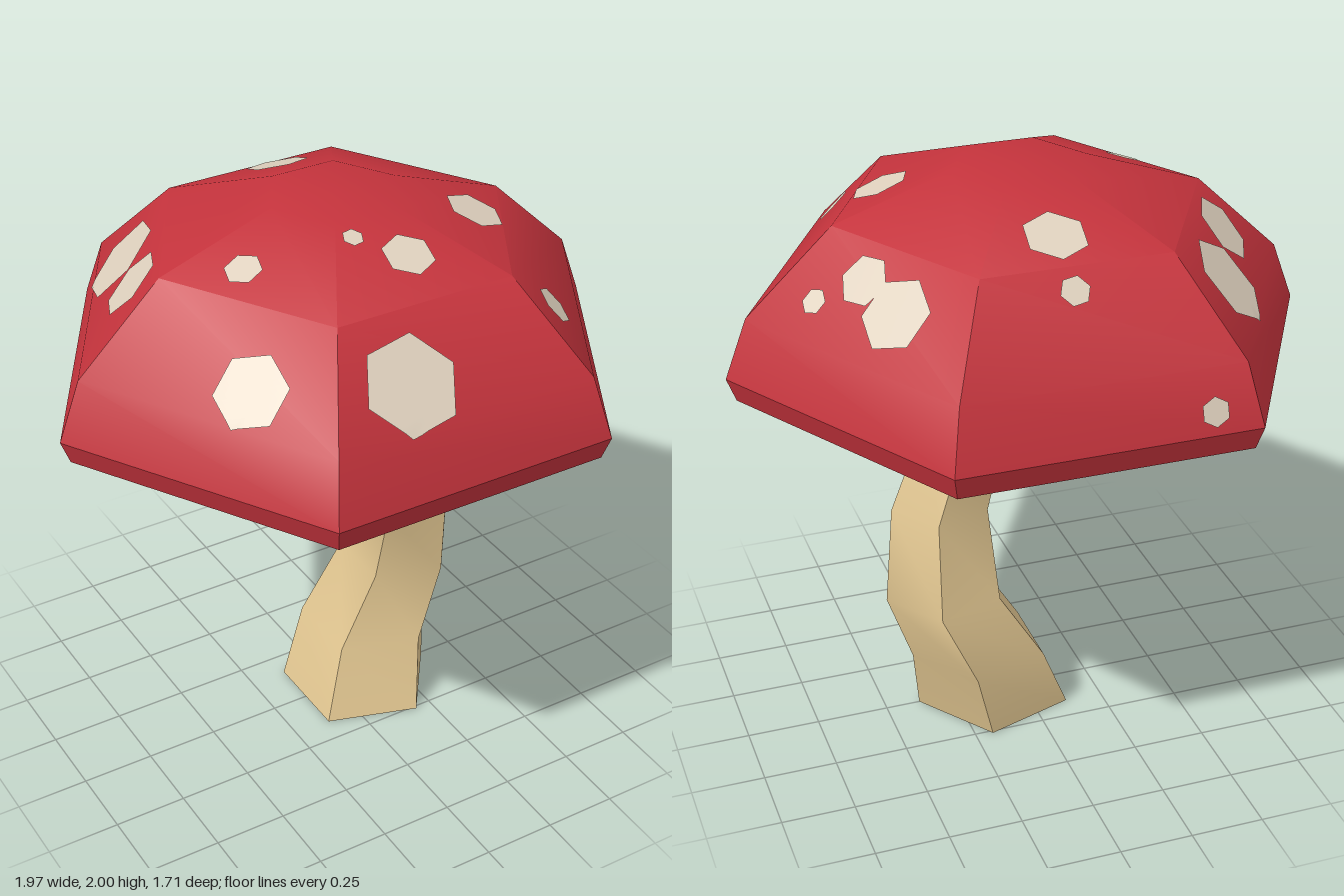
import * as THREE from 'three';
import { toCreasedNormals } from 'three/addons/utils/BufferGeometryUtils.js';

const CREASE = 0.58;

// Closed loft through regular polygon rings [y, radius, centreX, centreZ], bottom to top
function loft(rings, sides) {
  const pos = [], index = [];
  rings.forEach(([y, r, cx = 0, cz = 0]) => {
    for (let i = 0; i < sides; i++) {
      const a = (i / sides) * Math.PI * 2;
      pos.push(cx + r * Math.cos(a), y, cz + r * Math.sin(a));
    }
  });
  const last = rings.length - 1;
  const bottom = rings.length * sides, top = bottom + 1;
  for (const [y, , cx = 0, cz = 0] of [rings[0], rings[last]]) pos.push(cx, y, cz);
  for (let i = 0; i < sides; i++) {
    const j = (i + 1) % sides;
    for (let k = 0; k < last; k++) {
      const a = k * sides, b = a + sides;
      index.push(a + i, b + i, b + j, a + i, b + j, a + j);
    }
    index.push(bottom, i, j, top, last * sides + j, last * sides + i);
  }
  const geo = new THREE.BufferGeometry();
  geo.setAttribute('position', new THREE.Float32BufferAttribute(pos, 3));
  geo.setIndex(index);
  return toCreasedNormals(geo, CREASE);
}

// Cap rings: rim, then dome
const capRings = [[1.31, 0.955], [1.39, 0.985], [1.59, 0.91], [1.865, 0.62], [2.0, 0.225]];

// Dome profile through the middle of a side: [distance from axis, height]
const profile = capRings.slice(1).map(([y, r]) => new THREE.Vector2(r * Math.cos(Math.PI / 6), y));

// Point on the dome profile at a slope distance from the rim, lifted off the surface
function profileAt(s, lift) {
  for (let i = 0; i < profile.length - 1; i++) {
    const p = profile[i], q = profile[i + 1], len = p.distanceTo(q);
    if (s <= len || i === profile.length - 2) {
      const d = q.clone().sub(p).divideScalar(len);
      return new THREE.Vector2(p.x + d.x * s + d.y * lift, p.y + d.y * s - d.x * lift);
    }
    s -= len;
  }
}

// Slope distance from the rim at a given distance from the axis
function slopeAt(dist) {
  let s = 0;
  for (let i = 0; i < profile.length - 1; i++) {
    const p = profile[i], q = profile[i + 1], len = p.distanceTo(q);
    if (dist >= q.x) return s + (len * (p.x - dist)) / (p.x - q.x);
    s += len;
  }
  return s;
}

// Six-sided patch wrapped over one side of the dome
function spotGeometry(sideDeg, side, dist, radius, turnDeg) {
  const geo = new THREE.RingGeometry(0, 1, 36, 6);
  const pos = geo.attributes.position;
  const a = THREE.MathUtils.degToRad(sideDeg), turn = THREE.MathUtils.degToRad(turnDeg);
  const s0 = slopeAt(dist), sector = Math.PI / 3;
  for (let i = 0; i < pos.count; i++) {
    const x = pos.getX(i), y = pos.getY(i);
    const th = Math.atan2(y, x) + Math.PI * 2 + 1e-6;
    const hex = Math.cos(sector / 2) / Math.cos((th % sector) - sector / 2);
    const r = radius * Math.hypot(x, y) * hex;
    const t = side - r * Math.cos(th + turn);
    const p = profileAt(s0 + r * Math.sin(th + turn), 0.006);
    pos.setXYZ(i, p.x * Math.cos(a) - t * Math.sin(a), p.y, p.x * Math.sin(a) + t * Math.cos(a));
  }
  geo.computeVertexNormals();
  return geo;
}

export function createModel() {
  const red = new THREE.MeshStandardMaterial({ color: 0xc4333c });
  red.name = 'capRed';
  const tan = new THREE.MeshStandardMaterial({ color: 0xdfc48f });
  tan.name = 'stemTan';
  const cream = new THREE.MeshStandardMaterial({ color: 0xdfd1be });
  cream.name = 'spotCream';

  const model = new THREE.Group();
  model.name = 'mushroom';
  const add = (name, geo, mat, parent = model) => {
    const mesh = new THREE.Mesh(geo, mat);
    mesh.name = name;
    parent.add(mesh);
  };

  // Hexagonal cap
  add('cap', loft(capRings, 6), red);

  // Crooked five-sided stem, ending just inside the cap
  add('stem', loft([
    [0, 0.276, 0.104, 0],
    [0.24, 0.24, 0.172, -0.05],
    [0.49, 0.204, 0.296, -0.053],
    [0.79, 0.172, 0.279, 0.03],
    [1.16, 0.145, 0.161, 0.033],
    [1.34, 0.122, 0.018, 0.007],
  ], 5), tan);

  // Spots: side direction, sideways offset, distance from axis, radius, turn
  const spots = new THREE.Group();
  spots.name = 'spots';
  model.add(spots);
  [
    [90, 0.15, 0.69, 0.162, 10],
    [90, -0.04, 0.37, 0.085, 25],
    [90, 0.09, 0.26, 0.035, 10],
    [270, 0.03, 0.415, 0.105, 25],
    [270, 0.03, 0.59, 0.05, 10],
    [270, -0.335, 0.83, 0.048, 30],
    [210, 0.122, 0.688, 0.16, 20],
    [210, -0.152, 0.634, 0.122, 10],
    [330, -0.09, 0.664, 0.125, 20],
    [330, 0.082, 0.622, 0.088, 5],
    [330, 0.226, 0.7, 0.045, 15],
    [30, -0.049, 0.445, 0.1, 10],
    [30, 0.219, 0.681, 0.072, 25],
    [150, 0.071, 0.4325, 0.062, 15],
    [150, -0.117, 0.708, 0.125, 20],
  ].forEach((s, i) => add(`spot${i + 1}`, spotGeometry(...s), cream, spots));

  return model;
}
